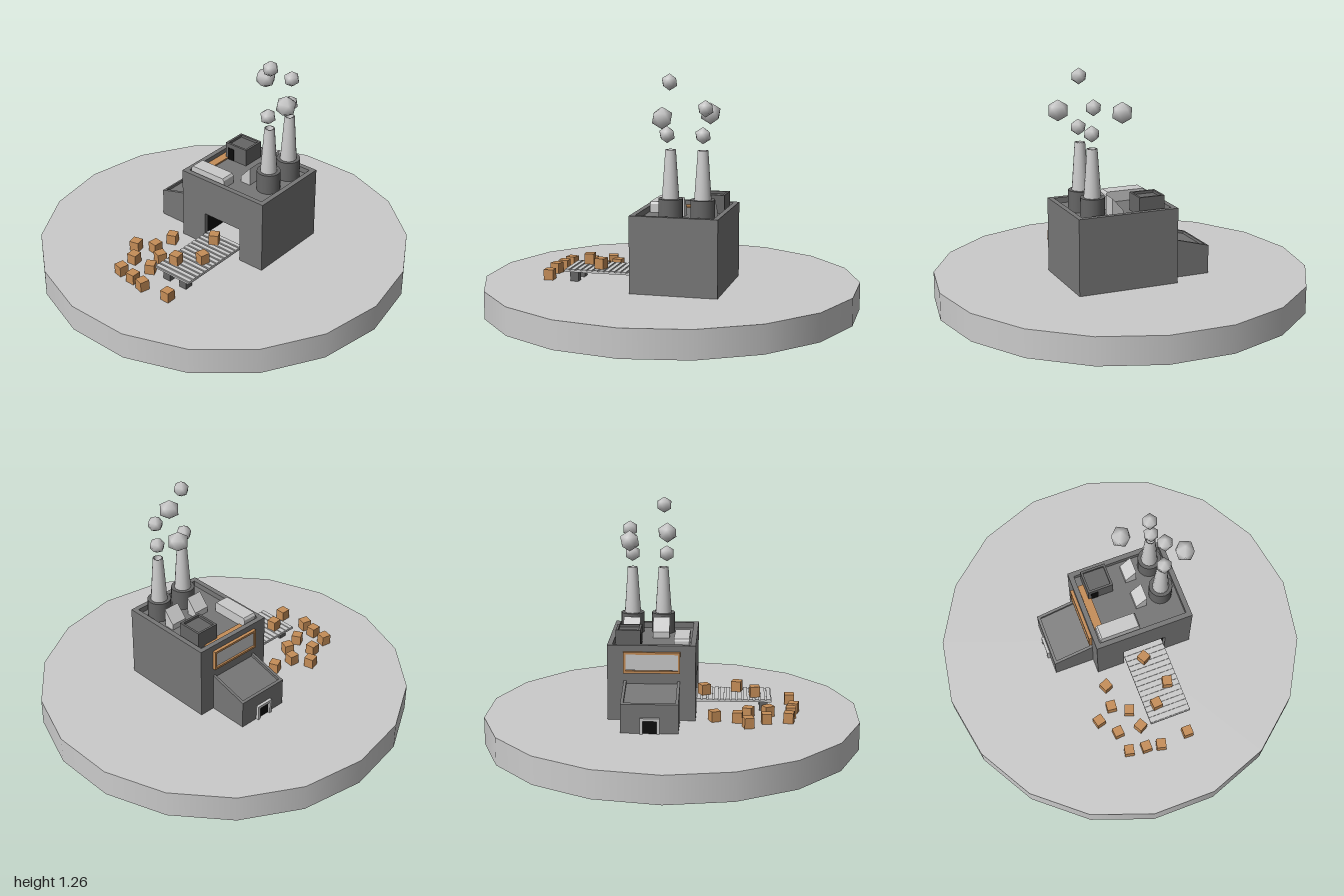
import * as THREE from 'three';

const mat = (color) => new THREE.MeshStandardMaterial({ color });
const light = mat(0xcccccc), dark = mat(0x777777), darker = mat(0x666666);
const black = mat(0x0c0c0c), brown = mat(0xc68e58);
const GROUND = 0.147, ROOF = 0.52, TOP = 0.55;

export function createModel() {
  const model = new THREE.Group();

  const add = (name, geo, material, parent = model) => {
    const mesh = new THREE.Mesh(geo, material);
    mesh.name = name;
    parent.add(mesh);
    return mesh;
  };
  // Box given by its limits on each axis
  const box = (name, [x0, x1], [y0, y1], [z0, z1], material, parent) => {
    const mesh = add(name, new THREE.BoxGeometry(x1 - x0, y1 - y0, z1 - z0), material, parent);
    mesh.position.set((x0 + x1) / 2, (y0 + y1) / 2, (z0 + z1) / 2);
    return mesh;
  };
  // Outline in x and y, extruded from z0 to z1
  const prism = (name, points, z0, z1, material, parent) => {
    const shape = new THREE.Shape(points.map(([x, y]) => new THREE.Vector2(x, y)));
    const geo = new THREE.ExtrudeGeometry(shape, { depth: z1 - z0, bevelEnabled: false });
    geo.translate(0, 0, z0);
    return add(name, geo, material, parent);
  };
  const group = (name) => {
    const g = new THREE.Group();
    g.name = name;
    model.add(g);
    return g;
  };

  // Round ground plate with 18 sides
  const base = add('groundPlate', new THREE.CylinderGeometry(1, 1, GROUND, 18), light);
  base.rotation.y = Math.PI / 2;
  base.position.y = GROUND / 2;

  // Main hall: four walls rising past a sunken roof, with a loading door
  const hall = group('mainHall');
  prism('frontWall', [[-0.18, GROUND], [-0.025, GROUND], [-0.025, 0.34], [0.215, 0.34],
    [0.215, GROUND], [0.365, GROUND], [0.365, TOP], [-0.18, TOP]], 0.103, 0.13, dark, hall);
  box('backWall', [-0.18, 0.365], [GROUND, TOP], [-0.33, -0.303], dark, hall);
  box('rightWall', [-0.18, -0.153], [GROUND, TOP], [-0.303, 0.103], dark, hall);
  box('leftWall', [0.338, 0.365], [GROUND, TOP], [-0.303, 0.103], dark, hall);
  box('roof', [-0.153, 0.338], [0.5, ROOF], [-0.303, 0.103], dark, hall);
  const inside = black.clone();
  inside.side = THREE.BackSide;
  box('doorInterior', [-0.03, 0.22], [GROUND, 0.345], [-0.03, 0.104], black, hall).material = inside;
  box('doorBack', [-0.025, 0.215], [GROUND, 0.34], [-0.03, -0.02], black, hall);

  // Lean-to annex with a sloping sunken roof
  const annex = group('annex');
  const profile = [[-0.4, GROUND], [-0.18, GROUND], [-0.18, 0.36], [-0.4, 0.3]];
  prism('annexBackWall', profile, -0.245, -0.23, dark, annex);
  prism('annexFrontWall', profile, 0.035, 0.05, dark, annex);
  prism('annexEndWall', [[-0.4, GROUND], [-0.385, GROUND], [-0.385, 0.304], [-0.4, 0.3]],
    -0.23, 0.035, dark, annex);
  prism('annexRoof', [[-0.385, 0.27], [-0.18, 0.326], [-0.18, 0.345], [-0.385, 0.289]],
    -0.23, 0.035, dark, annex);
  box('annexDoor', [-0.403, -0.398], [GROUND, 0.22], [-0.135, -0.055], black, annex);
  for (const z of [-0.145, -0.06]) {
    box('doorPost', [-0.415, -0.4], [GROUND, 0.23], [z, z + 0.015], light, annex);
  }
  box('doorLintel', [-0.415, -0.4], [0.215, 0.23], [-0.13, -0.06], light, annex);

  // Blank framed sign board on the side wall
  const sign = group('signBoard');
  box('signPanel', [-0.19, -0.18], [0.42, 0.505], [-0.235, 0.04], light, sign);
  for (const y of [0.405, 0.505]) {
    box('signRail', [-0.197, -0.18], [y, y + 0.012], [-0.245, 0.05], brown, sign);
  }
  for (const z of [-0.245, 0.038]) {
    box('signStile', [-0.197, -0.18], [0.417, 0.505], [z, z + 0.012], brown, sign);
  }

  // Roof fittings
  const fittings = group('roofFittings');
  box('roofPlank', [-0.15, -0.105], [ROOF, 0.528], [-0.25, 0.015], brown, fittings);
  prism('ventDuct', [[-0.145, ROOF], [0.078, ROOF], [0.078, 0.565], [0.07, 0.577],
    [-0.137, 0.577], [-0.145, 0.565]], 0.015, 0.095, light, fittings);
  for (const z of [-0.27, -0.11]) {
    prism('skylight', [[0.1, ROOF], [0.16, ROOF], [0.16, 0.622], [0.1, 0.553]],
      z, z + 0.09, light, fittings);
  }

  // Stair hut with a raised rim and a small door
  const hut = group('stairHut');
  box('hutBody', [-0.12, 0.02], [ROOF, 0.602], [-0.29, -0.16], darker, hut);
  for (const x of [-0.12, 0.008]) {
    box('hutRimSide', [x, x + 0.012], [0.602, 0.616], [-0.29, -0.16], darker, hut);
  }
  for (const z of [-0.29, -0.172]) {
    box('hutRimEnd', [-0.108, 0.008], [0.602, 0.616], [z, z + 0.012], darker, hut);
  }
  box('hutDoor', [-0.105, -0.065], [ROOF, 0.59], [-0.162, -0.158], black, hut);

  // Two chimneys on round plinths
  const profilePoints = [[0.045, 0.62], [0.027, 0.88], [0.02, 0.88], [0.02, 0.84], [0, 0.84]];
  const stackMat = light.clone();
  stackMat.side = THREE.DoubleSide;
  for (const z of [-0.06, -0.228]) {
    const chimney = group('chimney');
    const plinth = add('chimneyPlinth', new THREE.CylinderGeometry(0.063, 0.063, 0.11, 16), darker, chimney);
    plinth.position.y = 0.575;
    add('chimneyStack', new THREE.LatheGeometry(
      profilePoints.map(([r, y]) => new THREE.Vector2(r, y)), 16), stackMat, chimney);
    chimney.position.set(0.253, 0, z);
  }

  // Smoke puffs: smooth-shaded icosahedra with one corner upward
  const puff = new THREE.IcosahedronGeometry(1, 0);
  puff.rotateZ(-Math.atan(2 / (1 + Math.sqrt(5))));
  puff.setAttribute('normal', puff.attributes.position.clone());
  for (const [x, y, z, r] of [[0.255, 1.22, -0.055, 0.043], [0.25, 1.09, -0.24, 0.043],
    [0.255, 0.955, -0.042, 0.043], [0.255, 0.955, -0.228, 0.043],
    [0.09, 1.05, -0.23, 0.056], [0.365, 1.05, -0.045, 0.056]]) {
    const mesh = add('smokePuff', puff, light);
    mesh.position.set(x, y, z);
    mesh.scale.setScalar(r);
    mesh.rotation.y = x * 5;
  }

  // Conveyor: thin bed, cross slats and two feet
  const conveyor = group('conveyor');
  box('conveyorBed', [-0.02, 0.21], [0.205, 0.215], [-0.02, 0.53], light, conveyor);
  for (let i = 0; i < 14; i++) {
    const z = 0.1 + i * 0.031;
    box('conveyorSlat', [-0.02, 0.21], [0.215, 0.22], [z, z + 0.022], light, conveyor);
  }
  for (const x of [0.04, 0.15]) {
    box('conveyorFoot', [x - 0.023, x + 0.023], [GROUND, 0.205], [0.465, 0.51], darker, conveyor);
  }

  // Crates on the belt and scattered on the ground: x, z, turn, on belt
  const crate = new THREE.BoxGeometry(0.052, 0.056, 0.052);
  for (const [x, z, turn, onBelt] of [[0.075, 0.17, 0.5, 1], [0.045, 0.44, 0.1, 1],
    [0.145, 0.345, -0.25, 1], [-0.17, 0.23, 0.4, 0], [-0.185, 0.35, -0.1, 0],
    [-0.275, 0.405, 0.25, 0], [-0.1, 0.405, -0.35, 0], [-0.2, 0.5, 0.08, 0],
    [-0.073, 0.51, 0.5, 0], [-0.18, 0.617, -0.2, 0], [-0.086, 0.63, 0, 0],
    [-0.005, 0.646, -0.25, 0], [0.155, 0.63, 0, 0]]) {
    const mesh = add('crate', crate, brown);
    mesh.position.set(x, (onBelt ? 0.22 : GROUND) + 0.028, z);
    mesh.rotation.y = turn;
  }

  return model;
}
